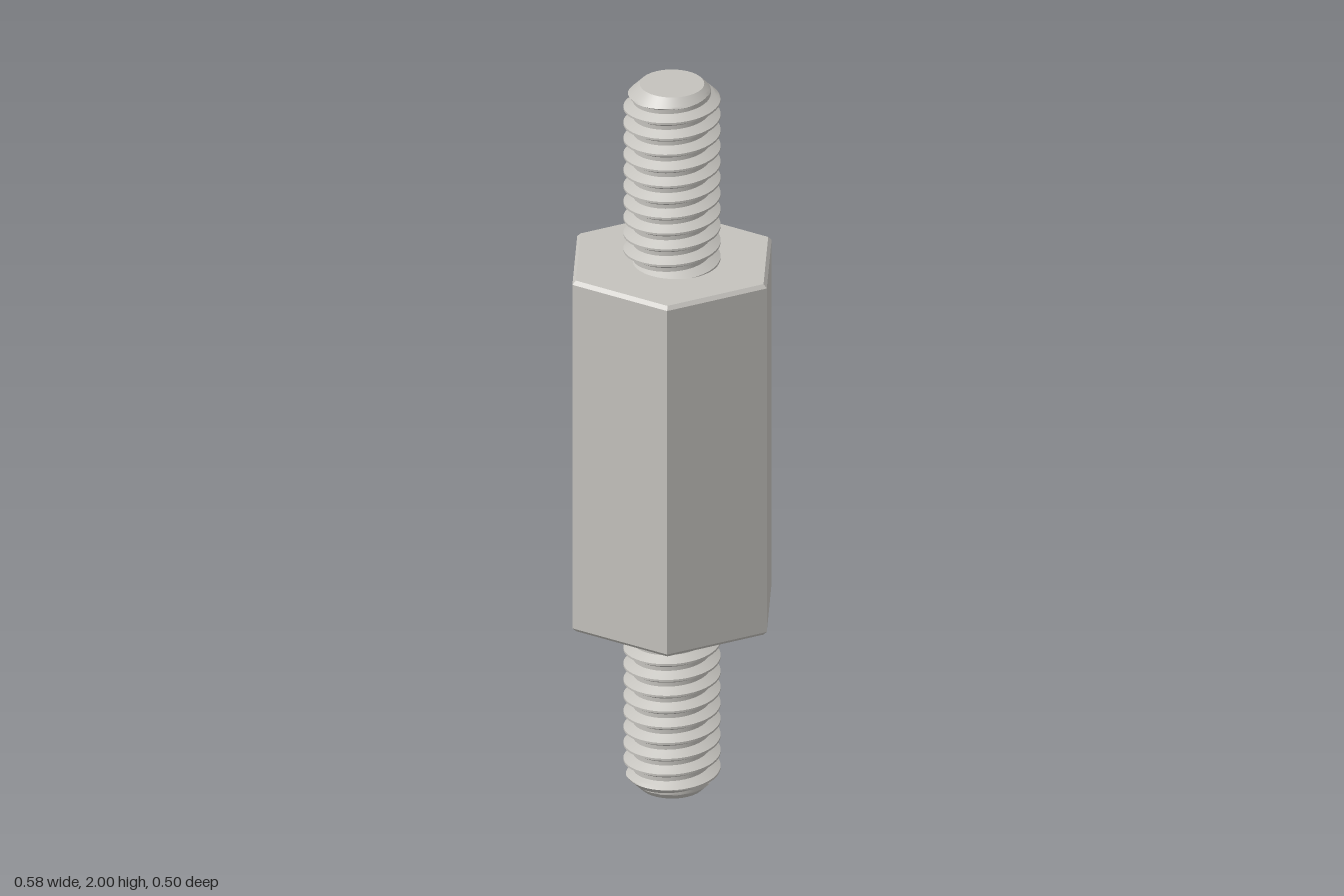
import * as THREE from 'three';
import { toCreasedNormals } from 'three/addons/utils/BufferGeometryUtils.js';
import { ParametricGeometry } from 'three/addons/geometries/ParametricGeometry.js';

const PITCH = 0.045, MAJOR = 0.125, MINOR = 0.1, TIP = 0.083;
const HEX_R = 0.5 / Math.sqrt(3);

// Radius of the thread at a distance s (in turns) from a crest:
// narrow flat crest, straight flank, flat root
function threadRadius(s) {
  const d = Math.abs(s - Math.round(s));
  const t = THREE.MathUtils.clamp((d - 1 / 16) / (5 / 16), 0, 1);
  return THREE.MathUtils.lerp(MAJOR, MINOR, t);
}

// Right-handed thread from inside the body to a chamfered tip at y = 1
function threadGeometry() {
  const geometry = new ParametricGeometry((u, v, target) => {
    const a = u * Math.PI * 2;
    const s = -12 + 13 * v;
    const y = THREE.MathUtils.clamp(0.963 + PITCH * (s + u), 0.49, 1);
    const r = Math.min(threadRadius(s), TIP + 1 - y);
    target.set(-Math.sin(a) * r, y, -Math.cos(a) * r);
  }, 48, 13 * 16);
  return toCreasedNormals(geometry, 0.5);
}

// Hexagonal prism with a small chamfer at both ends
function bodyGeometry() {
  const profile = [
    [0, -0.5], [HEX_R - 0.01, -0.5], [HEX_R, -0.49],
    [HEX_R, 0.49], [HEX_R - 0.01, 0.5], [0, 0.5],
  ].map(([r, y]) => new THREE.Vector2(r, y));
  return toCreasedNormals(new THREE.LatheGeometry(profile, 6, Math.PI / 6), 0.3);
}

export function createModel() {
  const model = new THREE.Group();
  model.name = 'hexStandoff';
  const metal = new THREE.MeshStandardMaterial({ color: 0xc4c2bd });
  metal.name = 'grey metal';

  const body = new THREE.Mesh(bodyGeometry(), metal);
  body.name = 'hexBody';
  body.position.y = 1;
  model.add(body);

  // The lower stud is the upper one turned half a turn about x
  const thread = threadGeometry();
  const cap = new THREE.CircleGeometry(TIP, 48).rotateX(-Math.PI / 2).translate(0, 1, 0);
  for (const [name, turn] of [['upperStud', 0], ['lowerStud', Math.PI]]) {
    const stud = new THREE.Group();
    stud.name = name;
    const threadMesh = new THREE.Mesh(thread, metal);
    threadMesh.name = name + 'Thread';
    const capMesh = new THREE.Mesh(cap, metal);
    capMesh.name = name + 'EndFace';
    stud.add(threadMesh, capMesh);
    stud.position.y = 1;
    stud.rotation.x = turn;
    model.add(stud);
  }
  return model;
}
